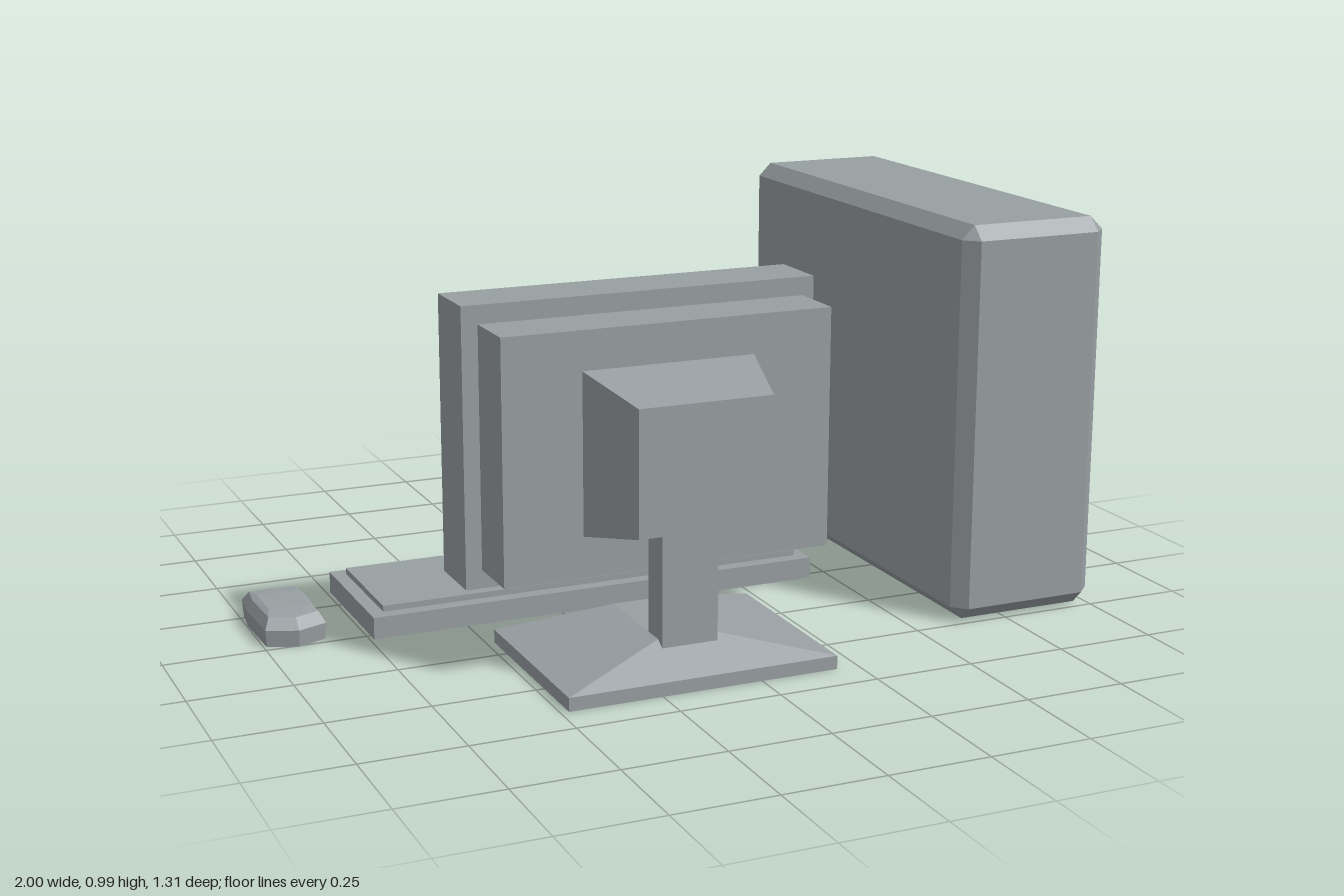
import * as THREE from 'three';
import { ConvexGeometry } from 'three/addons/geometries/ConvexGeometry.js';

const casing = new THREE.MeshStandardMaterial({ color: 0x989fa2 });
casing.name = 'grey casing';

const V = (x, y, z) => new THREE.Vector3(x, y, z);

function add(parent, name, geometry) {
  const mesh = new THREE.Mesh(geometry, casing);
  mesh.name = name;
  parent.add(mesh);
  return mesh;
}

// Box given by its limits on each axis
function box(parent, name, [x0, x1], [y0, y1], [z0, z1]) {
  const mesh = add(parent, name, new THREE.BoxGeometry(x1 - x0, y1 - y0, z1 - z0));
  mesh.position.set((x0 + x1) / 2, (y0 + y1) / 2, (z0 + z1) / 2);
  return mesh;
}

// The eight corners of a box given by its limits
function corners(xs, ys, zs) {
  return xs.flatMap(x => ys.flatMap(y => zs.map(z => V(x, y, z))));
}

// Box with every edge and corner cut off
function chamferedBox([x0, x1], [y0, y1], [z0, z1], c) {
  const xi = [x0 + c, x1 - c], yi = [y0 + c, y1 - c], zi = [z0 + c, z1 - c];
  return new ConvexGeometry([
    ...corners([x0, x1], yi, zi),
    ...corners(xi, [y0, y1], zi),
    ...corners(xi, yi, [z0, z1]),
  ]);
}

function rectangle(Type, x0, x1, y0, y1) {
  return new Type([[x0, y0], [x1, y0], [x1, y1], [x0, y1]].map(p => new THREE.Vector2(...p)));
}

function createMonitor() {
  const monitor = new THREE.Group();
  monitor.name = 'monitor';

  // Screen frame, open towards -z, with the recessed screen behind it
  const frame = rectangle(THREE.Shape, -0.595, 0.3, 0.19, 0.865);
  frame.holes.push(rectangle(THREE.Path, -0.57, 0.275, 0.217, 0.838));
  add(monitor, 'screenFrame', new THREE.ExtrudeGeometry(frame, { depth: 0.05, bevelEnabled: false }))
    .position.z = 0.14;
  box(monitor, 'screenPanel', [-0.595, 0.3], [0.19, 0.865], [0.19, 0.3]);

  // Stepped rear housing
  box(monitor, 'rearHousing', [-0.555, 0.27], [0.235, 0.82], [0.3, 0.45]);
  add(monitor, 'rearBulge', new ConvexGeometry([
    ...corners([-0.36, 0.07], [0.335, 0.725], [0.45]),
    ...corners([-0.31, 0.02], [0.38, 0.68], [0.655]),
  ]));

  // Stand
  box(monitor, 'standNeck', [-0.215, -0.075], [0.05, 0.42], [0.49, 0.57]);
  box(monitor, 'standPlate', [-0.48, 0.195], [0, 0.033], [0.165, 0.655]);
  add(monitor, 'standSlope', new ConvexGeometry([
    ...corners([-0.48, 0.195], [0.033], [0.165, 0.655]),
    ...corners([-0.215, -0.075], [0.097], [0.275, 0.545]),
  ]));
  return monitor;
}

function createKeyboard() {
  const keyboard = new THREE.Group();
  keyboard.name = 'keyboard';
  box(keyboard, 'keyboardBody', [-0.74, 0.445], [0, 0.055], [-0.355, 0.03]);
  box(keyboard, 'keyPanel', [-0.705, 0.415], [0.055, 0.07], [-0.325, -0.005]);
  return keyboard;
}

// Mouse: rounded outline repeated at three heights, shrinking at the top
function createMouse() {
  const outline = [
    [-0.07, -0.27], [0, -0.275], [0.07, -0.27], [0.08, -0.19],
    [0.075, -0.02], [0, 0.01], [-0.075, -0.02], [-0.08, -0.19],
  ];
  const levels = [[0, 0.97], [0.042, 1], [0.068, 0.82]];
  const points = levels.flatMap(([y, s]) =>
    outline.map(([x, z]) => V(-0.92 + x * s, y, -0.1325 + (z + 0.1325) * s)));
  // Raised middle of the back
  points.push(...corners([-0.97, -0.87], [0.075], [-0.19, -0.08]));
  const mesh = new THREE.Mesh(new ConvexGeometry(points), casing);
  mesh.name = 'mouse';
  return mesh;
}

export function createModel() {
  const model = new THREE.Group();
  model.name = 'desktopComputer';
  add(model, 'tower', chamferedBox([0.605, 1], [0.004, 0.992], [-0.655, 0.507], 0.034));
  model.add(createMonitor(), createKeyboard(), createMouse());
  return model;
}
